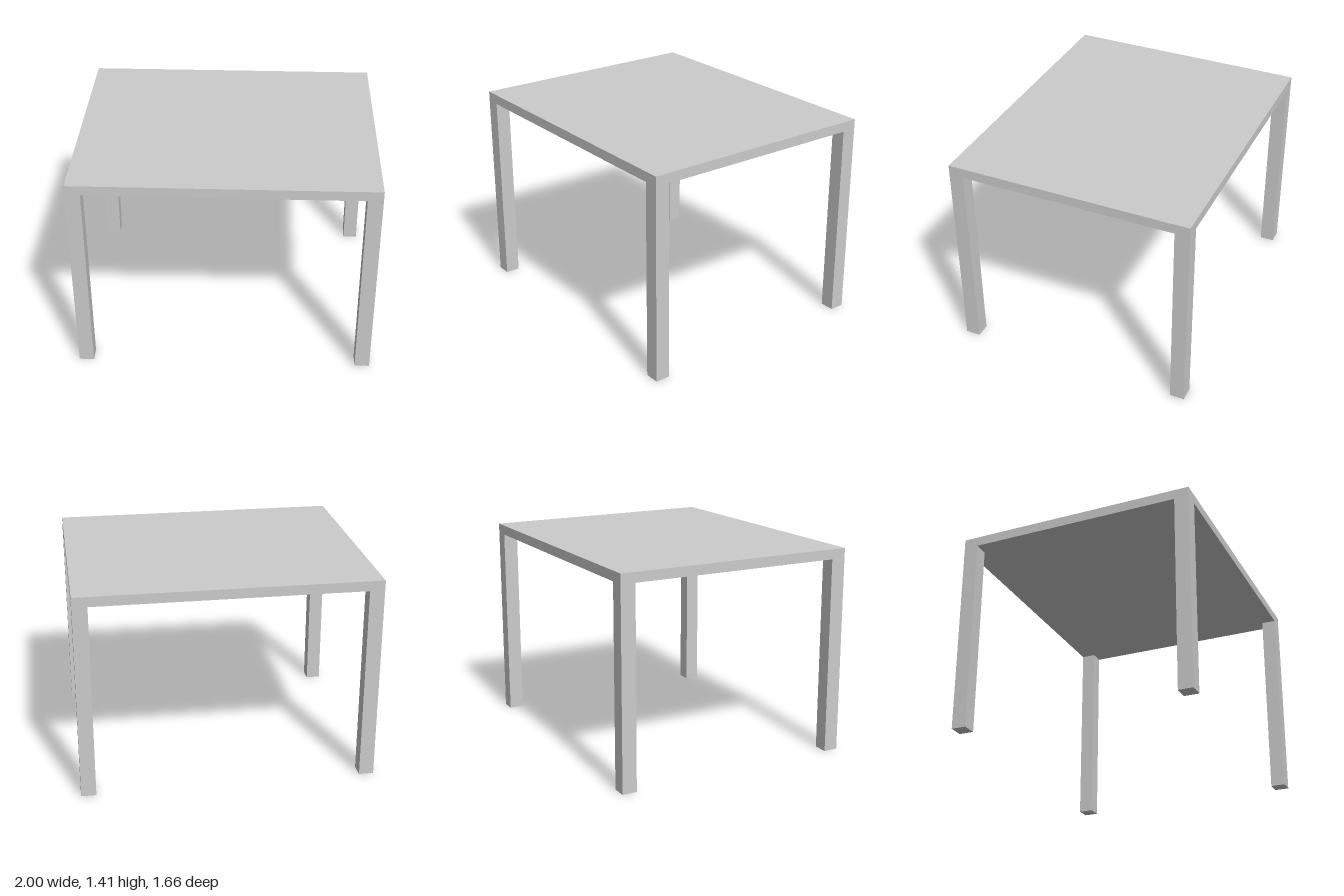
import * as THREE from 'three';

const WIDTH = 2, DEPTH = 1.66, HEIGHT = 1.413;
const TOP = 0.067, LEG = 0.1;

export function createModel() {
  const model = new THREE.Group();
  model.name = 'table';
  const material = new THREE.MeshStandardMaterial({ color: 0xcccccc });

  const addBox = (name, w, h, d, x, y, z) => {
    const mesh = new THREE.Mesh(new THREE.BoxGeometry(w, h, d), material);
    mesh.name = name;
    mesh.position.set(x, y, z);
    model.add(mesh);
  };

  // Flat slab, flush with the outside of the legs
  addBox('tableTop', WIDTH, TOP, DEPTH, 0, HEIGHT - TOP / 2, 0);

  // Four square corner legs under the slab
  const legHeight = HEIGHT - TOP;
  for (const [endName, sz] of [['front', 1], ['back', -1]]) {
    for (const [sideName, sx] of [['Left', 1], ['Right', -1]]) {
      addBox(`${endName}${sideName}Leg`, LEG, legHeight, LEG,
        sx * (WIDTH - LEG) / 2, legHeight / 2, sz * (DEPTH - LEG) / 2);
    }
  }
  return model;
}
